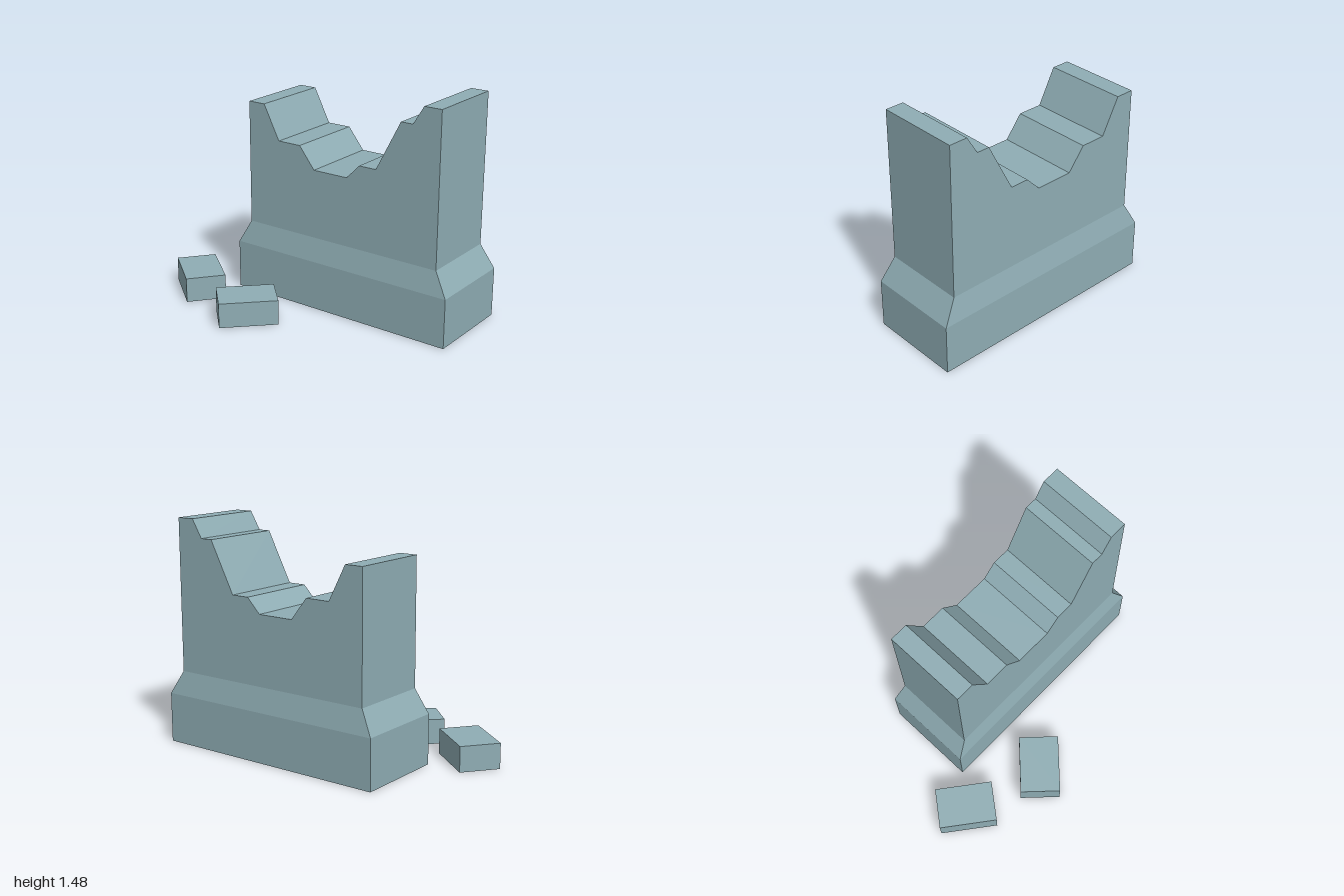
import * as THREE from 'three';

const material = new THREE.MeshStandardMaterial({ color: 0x8fadb4, flatShading: true });

function addMesh(group, name, geometry) {
  const mesh = new THREE.Mesh(geometry, material);
  mesh.name = name;
  group.add(mesh);
  return mesh;
}

// Closed solid lofted through rectangles [x0, x1, z0, z1, y], bottom to top
function loftRectangles(sections) {
  const positions = [];
  const rings = sections.map(([x0, x1, z0, z1, y]) => [
    [x0, y, z1], [x1, y, z1], [x1, y, z0], [x0, y, z0],
  ]);
  const quad = (a, b, c, d) => positions.push(...a, ...b, ...c, ...a, ...c, ...d);
  for (let i = 0; i < rings.length - 1; i++) {
    const lo = rings[i], hi = rings[i + 1];
    for (let k = 0; k < 4; k++) {
      const n = (k + 1) % 4;
      quad(lo[k], lo[n], hi[n], hi[k]);
    }
  }
  quad(...[...rings[0]].reverse());
  quad(...rings[rings.length - 1]);
  const geometry = new THREE.BufferGeometry();
  geometry.setAttribute('position', new THREE.Float32BufferAttribute(positions, 3));
  geometry.computeVertexNormals();
  return geometry;
}

export function createModel() {
  const group = new THREE.Group();
  group.name = 'ruinedWall';

  // Plinth with a sloped shoulder
  const shoulderY = 0.48, back = -0.573, front = -0.027;
  addMesh(group, 'plinth', loftRectangles([
    [-0.603, 1, -0.605, 0.005, 0],
    [-0.603, 1, -0.605, 0.005, 0.325],
    [-0.52, 0.91, back, front, shoulderY],
  ]));

  // Upright wall with a broken, stepped top edge
  const outline = [
    [-0.52, shoulderY], [0.91, shoulderY], [0.91, 1.475], [0.79, 1.475],
    [0.718, 1.357], [0.635, 1.357], [0.465, 1.03], [0.343, 1.03],
    [0.25, 0.935], [0, 0.935], [-0.113, 1.077], [-0.28, 1.077],
    [-0.398, 1.303], [-0.52, 1.303],
  ].map(([x, y]) => new THREE.Vector2(x, y));
  const wall = new THREE.ExtrudeGeometry(new THREE.Shape(outline), {
    depth: front - back, bevelEnabled: false,
  });
  addMesh(group, 'brokenWall', wall.translate(0, 0, back));

  // Fallen blocks on the ground
  const blockGeometry = new THREE.BoxGeometry(0.377, 0.165, 0.262);
  [[-0.772, 0.211, -0.67], [-0.235, 0.375, Math.PI / 4]].forEach(([x, z, turn], i) => {
    const block = addMesh(group, `fallenBlock${i + 1}`, blockGeometry);
    block.position.set(x, 0.0825, z);
    block.rotation.y = turn;
  });

  return group;
}
